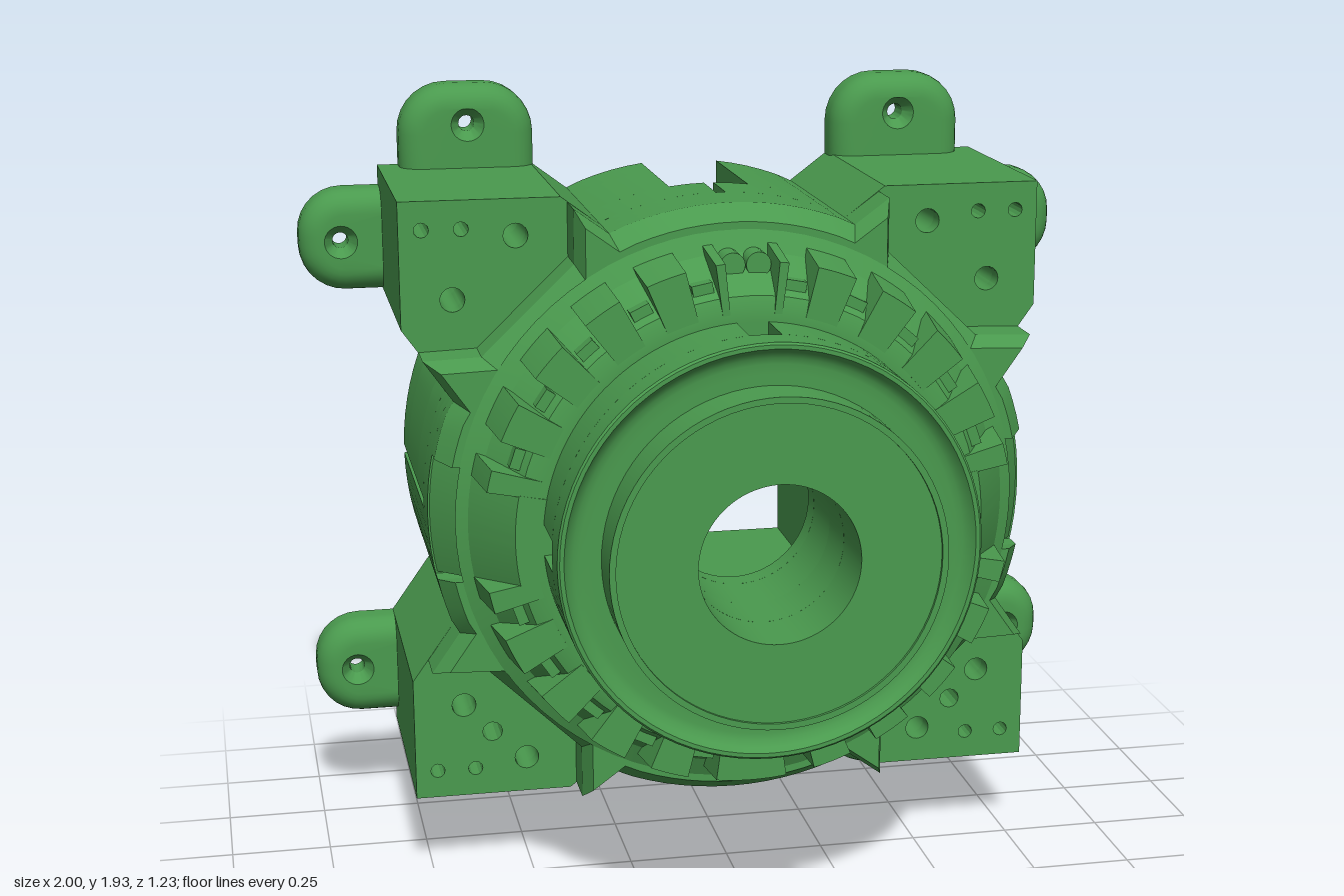
import * as THREE from 'three';
import { toCreasedNormals } from 'three/addons/utils/BufferGeometryUtils.js';

const R = 0.745, BORE = 0.19, TAU = Math.PI * 2, DEG = Math.PI / 180;
const V = (x, y) => new THREE.Vector2(x, y);
const material = new THREE.MeshStandardMaterial({ color: 0x4a9a4e, side: THREE.DoubleSide });

function addMesh(group, name, geometry) {
  const mesh = new THREE.Mesh(toCreasedNormals(geometry, 0.5), material);
  mesh.name = name;
  group.add(mesh);
  return mesh;
}

// Circle of radius r interrupted by features (point lists in counter-clockwise order)
function outline(r, features) {
  const pts = [];
  features.forEach((f, i) => {
    pts.push(...f);
    const a0 = f[f.length - 1].angle();
    let a1 = features[(i + 1) % features.length][0].angle();
    if (a1 <= a0) a1 += TAU;
    const n = Math.max(1, Math.ceil((a1 - a0) / 0.06));
    for (let k = 1; k < n; k++) {
      const a = a0 + (a1 - a0) * k / n;
      pts.push(V(r * Math.cos(a), r * Math.sin(a)));
    }
  });
  return new THREE.Shape(pts);
}

const notch = (angle, r, hw, depth) => {
  const e = Math.sqrt(r * r - hw * hw);
  return [V(e, -hw), V(r - depth, -hw), V(r - depth, hw), V(e, hw)]
    .map(p => p.rotateAround(V(0, 0), angle));
};

// First-quadrant points repeated in all four quadrants by mirroring
const quadrants = pts => [[1, 1], [-1, 1], [-1, -1], [1, -1]].map(([sx, sy]) => {
  const out = pts.map(([x, y]) => V(x * sx, y * sy));
  return sx * sy < 0 ? out.reverse() : out;
});

function addHole(shape, x, y, r, n = 20) {
  const pts = [];
  for (let i = 0; i < n; i++) pts.push(V(x + r * Math.cos(-i * TAU / n), y + r * Math.sin(-i * TAU / n)));
  shape.holes.push(new THREE.Path(pts));
}

const addSquareHole = (shape, h) =>
  shape.holes.push(new THREE.Path([V(-h, -h), V(-h, h), V(h, h), V(h, -h)]));

function slab(shape, z0, z1) {
  return new THREE.ExtrudeGeometry(shape, { depth: z1 - z0, bevelEnabled: false, curveSegments: 12 }).translate(0, 0, z0);
}

// Scale the front rim of a slab inwards, keeping everything inside rMin
function taper(geo, zMid, rMin, k) {
  const p = geo.attributes.position;
  for (let i = 0; i < p.count; i++) {
    if (p.getZ(i) > zMid && Math.hypot(p.getX(i), p.getY(i)) > rMin) p.setXY(i, p.getX(i) * k, p.getY(i) * k);
  }
  return geo;
}

function sector(a0, a1, r0, r1, z0, z1, k) {
  const s = new THREE.Shape();
  s.absarc(0, 0, r1, a0, a1, false);
  s.absarc(0, 0, r0, a1, a0, true);
  return taper(slab(s, z0, z1), (z0 + z1) / 2, (r0 + r1) / 2, k);
}

const lathe = pts => new THREE.LatheGeometry(pts.map(p => V(...p)), 80).rotateX(Math.PI / 2);

// Mounting ear: half a rounded rectangle with filleted front rim and countersunk hole
function ear(hw, h, radius, holeV) {
  const n = 8, z0 = -0.615, z1 = -0.51, f = 0.06, rings = [];
  const make = (z, inset, hole) => {
    const ring = [];
    for (let c = 0; c < 4; c++) for (let i = 0; i < n; i++) {
      const a = (c + i / (n - 1)) * Math.PI / 2;
      if (hole) { ring.push([hole * Math.cos(a), holeV + hole * Math.sin(a), z]); continue; }
      const r = radius - inset, sx = c === 0 || c === 3 ? 1 : -1, sy = c < 2 ? 1 : -1;
      const u = sx * (hw - radius) + r * Math.cos(a), v = sy * (h - radius) + r * Math.sin(a);
      ring.push([u, Math.max(v, -0.005), z]);
    }
    rings.push(ring);
  };
  make(z0, 0, 0.02);
  make(z0, 0);
  for (let i = 0; i <= 6; i++) {
    const a = i / 6 * Math.PI / 2;
    make(z1 - f + f * Math.sin(a), f * (1 - Math.cos(a)));
  }
  make(z1, 0, 0.042);
  make(z1 - 0.035, 0, 0.02);
  make(z0, 0, 0.02);
  const m = 4 * n, idx = [];
  for (let k = 0; k < rings.length - 1; k++) for (let i = 0; i < m; i++) {
    const a = k * m + i, b = k * m + (i + 1) % m;
    idx.push(a, b, b + m, a, b + m, a + m);
  }
  const g = new THREE.BufferGeometry();
  g.setAttribute('position', new THREE.Float32BufferAttribute(rings.flat(2), 3));
  g.setIndex(idx);
  g.computeVertexNormals();
  return g;
}

export function createModel() {
  const model = new THREE.Group();
  model.name = 'motorHousing';
  model.position.y = 0.965;

  // Main housing, in layers from the back: round recess, square cavity, keyway at the top
  const corners = quadrants([[0.68, 0.29], [0.79, 0.445], [0.79, 0.755], [0.4, 0.755], [0.3, 0.68]]);
  const recessSlot = [V(0.1, 0.738), V(0.1, 0.408)];
  const a0 = Math.atan2(0.408, 0.1);
  for (let i = 1; i < 48; i++) {
    const a = a0 - (TAU - (Math.PI - 2 * a0)) * i / 48;
    recessSlot.push(V(0.42 * Math.cos(a), 0.42 * Math.sin(a)));
  }
  recessSlot.push(V(-0.1, 0.408), V(-0.1, 0.738));
  const H = 0.24;
  const squareSlot = [[0.1, 0.738], [0.1, H], [H, H], [H, -H], [-H, -H], [-H, H], [-0.1, H], [-0.1, 0.738]].map(p => V(...p));
  const layers = [
    { z: [-0.615, -0.565], top: recessSlot, groove: true, bolt: 0.055 },
    { z: [-0.565, -0.48], top: recessSlot, groove: true, bolt: 0.03 },
    { z: [-0.48, -0.22], top: squareSlot, groove: true, bolt: 0.03 },
    { z: [-0.22, -0.07], top: notch(Math.PI / 2, R, 0.012, 0.04), groove: true, square: true, bolt: 0.03 },
    { z: [-0.07, -0.02], square: true, bolt: 0.03 },
  ];
  for (const { z, top, groove, square, bolt } of layers) {
    const features = [
      groove && notch(0, R, 0.012, 0.03), corners[0], top, corners[1],
      groove && notch(Math.PI, R, 0.012, 0.03), corners[2], corners[3],
    ].filter(Boolean);
    const s = outline(R, features);
    if (square) addSquareHole(s, H);
    for (const sx of [-1, 1]) for (const sy of [-1, 1]) {
      addHole(s, sx * 0.51, sy * 0.665, bolt);
      addHole(s, sx * 0.665, sy * 0.515, bolt);
      addHole(s, sx * 0.64, sy * 0.685, 0.018, 12);
      addHole(s, sx * 0.735, sy * 0.685, 0.018, 12);
      if (sy < 0) addHole(s, sx * 0.595, -0.59, 0.025, 12);
    }
    addMesh(model, 'housingLayer', slab(s, ...z));
  }

  // Front collar: ribs on both sides of a diagonal flat at every corner, side pockets, chamfered rim
  const ribs = quadrants([[0.68, 0.29], [0.75, 0.39], [0.61, 0.395], [0.385, 0.61], [0.385, 0.742], [0.3, 0.68]]);
  const collar = (pockets, square) => {
    const s = outline(R, pockets
      ? [notch(0, R, 0.15, 0.2), ribs[0], ribs[1], notch(Math.PI, R, 0.15, 0.2), ribs[2], ribs[3]] : ribs);
    if (square) addSquareHole(s, H);
    else addHole(s, 0, 0, BORE, 48);
    return s;
  };
  addMesh(model, 'collarBase', slab(collar(false, true), -0.02, 0.03));
  addMesh(model, 'collar', slab(collar(true, true), 0.03, 0.08));
  addMesh(model, 'collarChamfer', taper(slab(collar(true, false), 0.08, 0.14), 0.11, 0.4, 0.95));

  // Conical core under the teeth
  addMesh(model, 'toothCore', lathe([[0.69, 0.14], [0.64, 0.165], [0.56, 0.29], [0.53, 0.3], [0.5, 0.3], [BORE, 0.3], [BORE, 0.14]]));

  // Teeth with slots between them; each slot holds a small ledge
  const slots = [0, 1, 2, 3, 4].map(i => 11 + 15 * i);
  for (const side of [-1, 1]) for (const half of [-1, 1]) {
    const at = d => half * Math.PI / 2 + side * d * DEG;
    slots.forEach((d, i) => {
      const e0 = at(d + 3.2), e1 = at(i < 4 ? d + 11.8 : 79);
      addMesh(model, 'tooth', sector(Math.min(e0, e1), Math.max(e0, e1), 0.52, 0.665, 0.13, 0.302, 0.965));
      const ledge = addMesh(model, 'slotLedge', new THREE.BoxGeometry(0.075, 0.05, 0.1));
      ledge.position.set(0.56 * Math.cos(at(d)), 0.56 * Math.sin(at(d)), 0.22);
      ledge.rotation.z = at(d);
    });
  }
  addMesh(model, 'bottomTooth', sector(-97.8 * DEG, -82.2 * DEG, 0.52, 0.665, 0.13, 0.302, 0.965));

  // Twin pins in the pocket at the top, with a wall on each side
  for (const s of [-1, 1]) {
    const c = Math.PI / 2 + s * 6.8 * DEG;
    addMesh(model, 'pocketWall', sector(c - DEG, c + DEG, 0.52, 0.665, 0.13, 0.302, 0.965));
    const pin = addMesh(model, 'pin', new THREE.CylinderGeometry(0.03, 0.03, 0.1, 20).rotateX(Math.PI / 2));
    pin.position.set(s * 0.031, 0.62, 0.175);
  }

  // Side lugs sloping from the collar up to the nose
  for (const c of [0, Math.PI]) {
    addMesh(model, 'sideLug', sector(c - 11.3 * DEG, c + 11.3 * DEG, 0.5, 0.74, 0.03, 0.303, 0.765));
  }

  // Nose: notched drum, then dished rim and boss
  const drum = outline(0.5, [0, 1, 2, 3].map(i => notch(i * Math.PI / 2, 0.5, 0.038, 0.07)));
  addHole(drum, 0, 0, BORE, 48);
  addMesh(model, 'noseDrum', slab(drum, 0.3, 0.44));
  addMesh(model, 'noseBoss', lathe([[0.5, 0.44], [0.5, 0.525], [0.495, 0.53], [0.485, 0.53], [0.475, 0.515], [0.46, 0.505],
    [0.445, 0.502], [0.42, 0.502], [0.395, 0.502], [0.395, 0.615], [0.38, 0.615], [0.38, 0.607], [BORE, 0.607], [BORE, 0.44]]));

  // Mounting ears: two on every corner block
  for (const sx of [-1, 1]) for (const sy of [-1, 1]) {
    const upright = addMesh(model, 'verticalEar', ear(0.172, 0.21, 0.125, 0.11));
    upright.position.set(sx * 0.565, sy * 0.755, 0);
    upright.rotation.z = sy > 0 ? 0 : Math.PI;
    const sideways = addMesh(model, 'sideEar', ear(0.13, 0.21, 0.115, 0.105));
    sideways.position.set(sx * 0.79, sy * 0.575, 0);
    sideways.rotation.z = -sx * Math.PI / 2;
  }
  return model;
}
